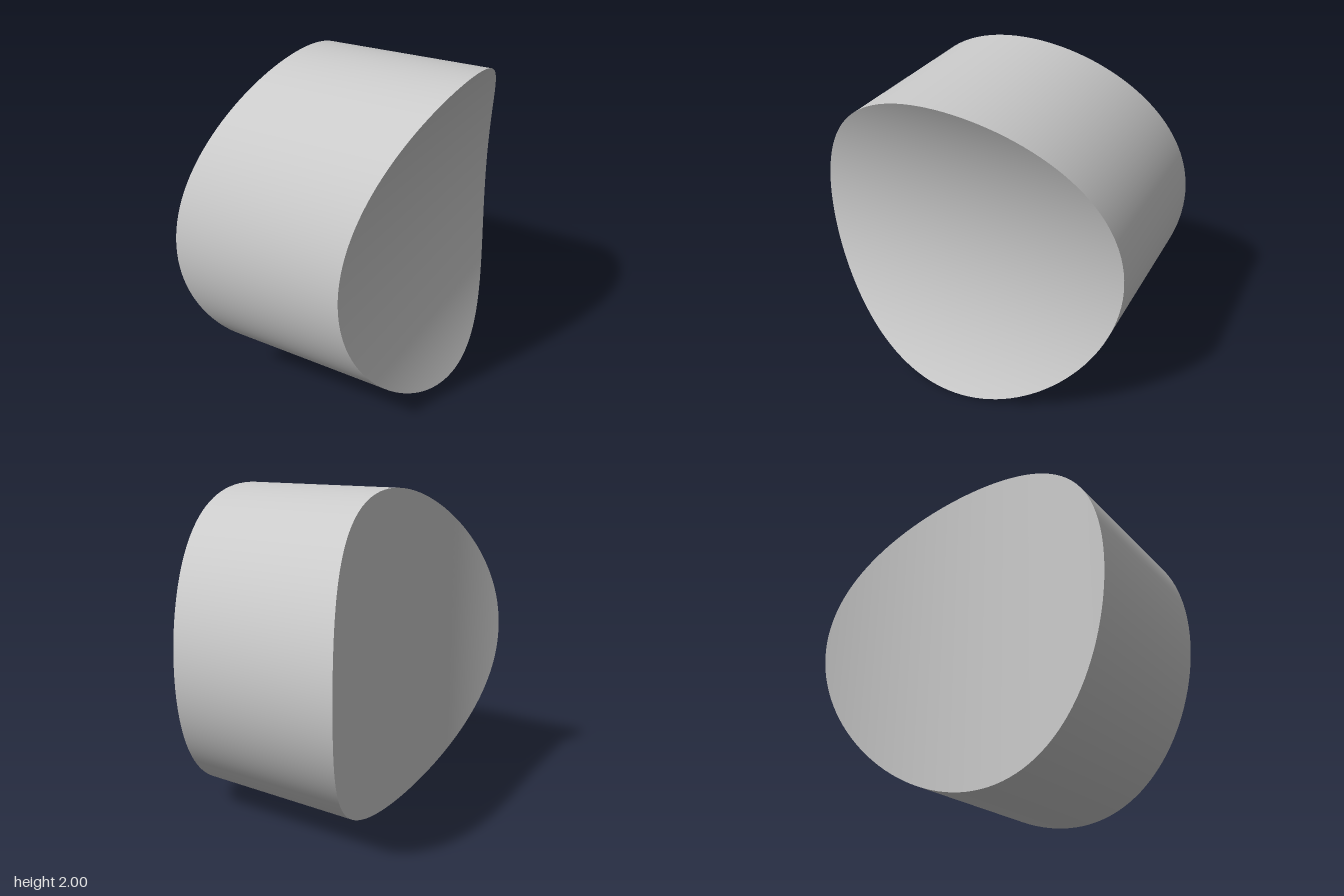
import * as THREE from 'three';

const SEGMENTS = 128;
const WAIST = 0.41; // distance of each hollow's lowest line from the centre
const BEND = 2;     // radius of the hollow in each end

// Distance of an end face from the centre, t across its hollow
const depth = (t) => WAIST + BEND - Math.sqrt(Math.max(0, BEND * BEND - t * t));

export function createModel() {
  const group = new THREE.Group();
  group.name = 'saddleEndedCylinder';
  const material = new THREE.MeshStandardMaterial({ color: 0xcccccc });

  const add = (name, geometry) => {
    const mesh = new THREE.Mesh(geometry, material);
    mesh.name = name;
    mesh.position.y = 1;
    group.add(mesh);
  };

  // Round wall lying along x, its two rims following the hollowed ends
  const wall = new THREE.CylinderGeometry(1, 1, 2, SEGMENTS, 1, true);
  wall.rotateZ(-Math.PI / 2);
  const p = wall.attributes.position;
  for (let i = 0; i < p.count; i++) {
    p.setX(i, p.getX(i) > 0 ? depth(p.getY(i)) : -depth(p.getZ(i)));
  }
  add('roundWall', wall);

  // Hollow end: the left one curves along y, the right one along z
  const hollowEnd = (side) => {
    const disc = new THREE.RingGeometry(0, 1, SEGMENTS, 24);
    disc.rotateY(side * Math.PI / 2);
    const pos = disc.attributes.position;
    const normal = disc.attributes.normal;
    for (let i = 0; i < pos.count; i++) {
      const t = side > 0 ? pos.getY(i) : pos.getZ(i);
      pos.setX(i, side * depth(t));
      const across = -t / BEND;
      const out = side * Math.sqrt(1 - across * across);
      normal.setXYZ(i, out, side > 0 ? across : 0, side > 0 ? 0 : across);
    }
    return disc;
  };
  add('leftHollowEnd', hollowEnd(1));
  add('rightHollowEnd', hollowEnd(-1));

  return group;
}
